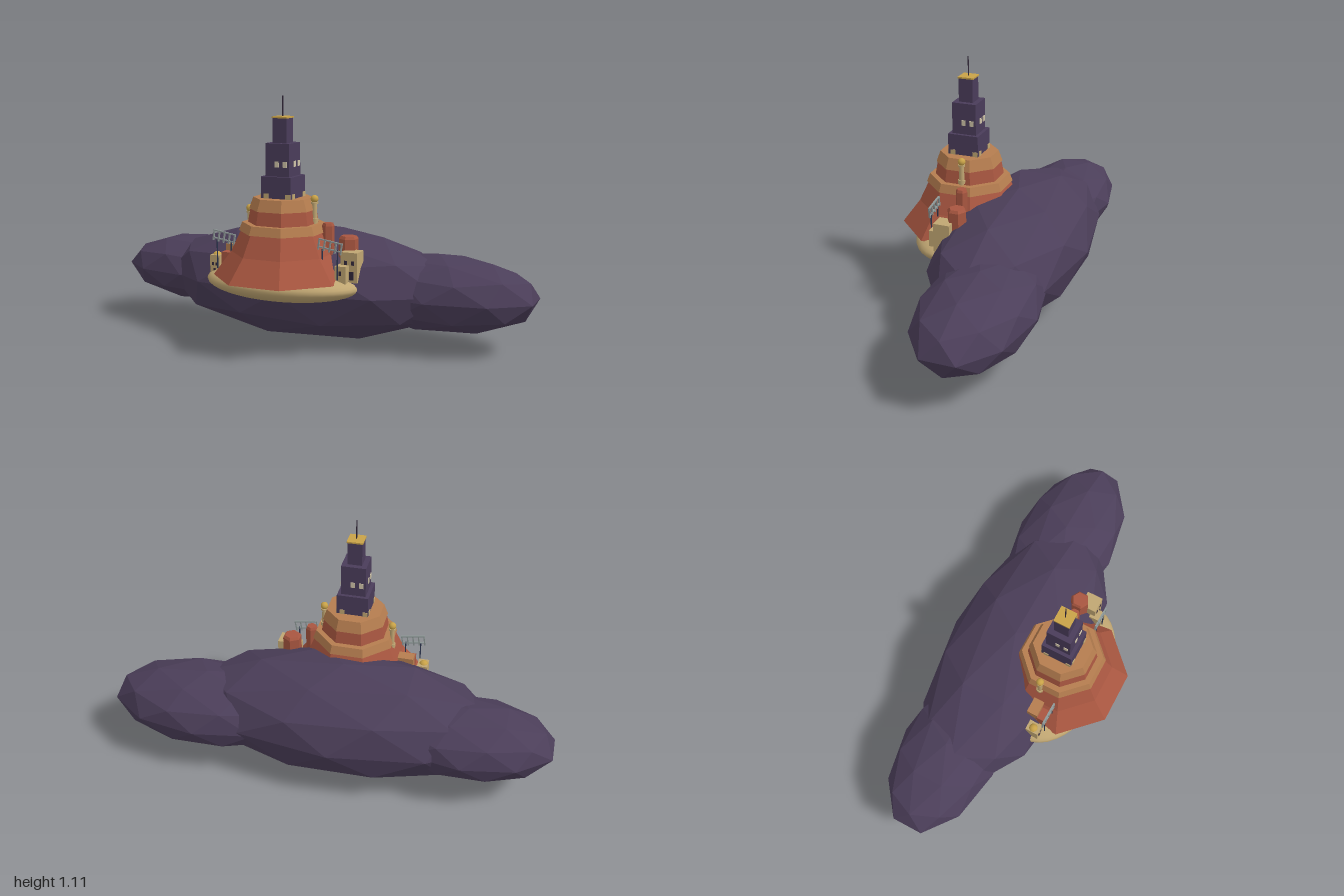
import * as THREE from 'three';

const mat = (name, color, flatShading = false) => {
  const m = new THREE.MeshStandardMaterial({ color, flatShading });
  m.name = name;
  return m;
};

export function createModel() {
  const root = new THREE.Group();
  root.name = 'floatingRockTemple';
  const rock = mat('rockPurple', 0x4b3e59, true);
  const purple = mat('towerPurple', 0x4a3c5a, true);
  const sand = mat('sand', 0xc0a672);
  const red = mat('brickRed', 0xa85640, true);
  const tan = mat('terraceTan', 0xb57d4f, true);
  const gold = mat('gold', 0xc8a248);
  const pale = mat('windowPale', 0xcfc3a8);
  const dark = mat('openingDark', 0x33293a);
  const grey = mat('railGrey', 0x8f9998);
  const navy = mat('poleNavy', 0x2c3550);

  const CX = -0.05, CZ = 0.142; // axis of the temple

  const add = (name, geo, material, x, y, z, parent = root) => {
    const m = new THREE.Mesh(geo, material);
    m.name = name;
    m.position.set(x, y, z);
    parent.add(m);
    return m;
  };
  const box = (name, m, w, h, d, x, y, z, parent) =>
    add(name, new THREE.BoxGeometry(w, h, d), m, x, y, z, parent);

  // Rock lobes: faceted icospheres with a corner at the top
  const lobe = (name, x, y, z, rx, ry, rz) => {
    const g = new THREE.IcosahedronGeometry(1, 1);
    g.rotateX(-Math.atan2(1 + Math.sqrt(5), 2));
    g.rotateY(Math.PI / 2);
    g.scale(rx, ry, rz);
    add(name, g, rock, x, y, z);
  };
  lobe('mainRock', -0.05, 0.263, -0.095, 0.72, 0.262, 0.33);
  lobe('leftRock', 0.57, 0.248, -0.157, 0.452, 0.173, 0.243);
  lobe('rightRock', -0.62, 0.262, -0.14, 0.4, 0.158, 0.228);

  // Sand shelf
  const shelf = new THREE.SphereGeometry(1, 40, 20);
  shelf.scale(0.365, 0.075, 0.218);
  add('sandShelf', shelf, sand, CX, 0.3, CZ);

  // Eight-sided tiers: [name, material, bottom y, top y, bottom and top half widths]
  const tiers = [
    ['lowerSlope', red, 0.33, 0.435, 0.285, 0.212],
    ['upperSlope', red, 0.435, 0.528, 0.212, 0.172],
    ['lowerTerrace', tan, 0.528, 0.566, 0.18, 0.167],
    ['middleDrum', red, 0.566, 0.625, 0.143, 0.133],
    ['upperTerrace', tan, 0.625, 0.676, 0.138, 0.121],
  ];
  for (const [name, m, y0, y1, a0, a1] of tiers) {
    const k = Math.cos(Math.PI / 8);
    const g = new THREE.CylinderGeometry(a1 / k, a0 / k, y1 - y0, 8);
    g.rotateY(Math.PI / 8);
    add(name, g, m, CX, (y0 + y1) / 2, CZ);
  }

  // Stepped square tower with gold roof and mast
  const tower = new THREE.Group();
  tower.name = 'tower';
  tower.position.set(CX, 0, CZ + 0.002);
  root.add(tower);
  for (const [i, [y0, y1, r]] of [[0.67, 0.77, 0.071], [0.77, 0.912, 0.056], [0.912, 1.018, 0.033]].entries())
    box('towerStage' + (i + 1), purple, 2 * r, y1 - y0, 2 * r, 0, (y0 + y1) / 2, 0, tower);
  box('towerRoof', gold, 0.072, 0.007, 0.072, 0, 1.0215, 0, tower);
  add('mast', new THREE.CylinderGeometry(0.0025, 0.0025, 0.09, 8), dark, 0, 1.068, 0, tower);

  // Windows repeated on each of the four sides
  for (let i = 0; i < 4; i++) {
    const side = new THREE.Group();
    side.name = 'towerWindows';
    side.rotation.y = i * Math.PI / 2;
    tower.add(side);
    for (const u of [-0.002, 0.036]) box('window', pale, 0.019, 0.025, 0.004, u, 0.823, 0.057, side);
    for (const u of [-0.047, 0.058]) box('doorway', sand, 0.023, 0.022, 0.004, u, 0.686, 0.072, side);
  }

  // Columns topped with gold balls
  const column = (x, z, y0, y1) => {
    const g = new THREE.Group();
    g.name = 'ballColumn';
    g.position.set(x, 0, z);
    root.add(g);
    const h = y1 - y0 - 0.03;
    add('shaft', new THREE.CylinderGeometry(0.01, 0.013, h, 12), sand, 0, y0 + h / 2, 0, g);
    add('collar', new THREE.CylinderGeometry(0.016, 0.016, 0.008, 12), sand, 0, y0 + h - 0.004, 0, g);
    add('foot', new THREE.CylinderGeometry(0.017, 0.017, 0.016, 12), sand, 0, y0 + 0.02, 0, g);
    add('ball', new THREE.SphereGeometry(0.017, 16, 12), gold, 0, y1 - 0.017, 0, g);
  };
  column(0.09, 0.122, 0.56, 0.69);
  column(-0.225, 0.122, 0.49, 0.63);

  // Six-sided red turrets on the left side
  const turret = (name, x, z, r, y0, y1) => {
    add(name, new THREE.CylinderGeometry(r, r * 1.05, y1 - y0, 6), red, x, (y0 + y1) / 2, z);
    add(name + 'Cap', new THREE.CylinderGeometry(r * 0.8, r, 0.012, 6), red, x, y1 + 0.006, z);
  };
  turret('tallTurret', 0.145, 0.1, 0.027, 0.38, 0.557);
  turret('wideTurret', 0.235, 0.085, 0.043, 0.36, 0.505);

  // Small houses with dark openings on their fronts
  const house = (name, m, w, h, d, x, y0, z, openings) => {
    const g = new THREE.Group();
    g.name = name;
    g.position.set(x, y0, z);
    root.add(g);
    box('walls', m, w, h, d, 0, h / 2, 0, g);
    for (const [u, v, ow, oh] of openings) box('opening', dark, ow, oh, 0.004, u, v, d / 2, g);
  };
  house('leftHouse', sand, 0.075, 0.13, 0.075, 0.27, 0.33, 0.13,
    [[-0.015, 0.085, 0.012, 0.018], [0.017, 0.085, 0.012, 0.018], [0.012, 0.03, 0.018, 0.036]]);
  house('leftAnnex', sand, 0.05, 0.075, 0.06, 0.245, 0.33, 0.175, [[0, 0.045, 0.012, 0.018]]);
  house('rightHouse', sand, 0.048, 0.09, 0.06, -0.367, 0.31, 0.165,
    [[-0.01, 0.05, 0.009, 0.014], [0.01, 0.05, 0.009, 0.014], [0, 0.018, 0.012, 0.024]]);
  add('rightHouseBall', new THREE.SphereGeometry(0.021, 16, 12), gold, -0.37, 0.392, 0.165);
  house('rightBlock', tan, 0.075, 0.12, 0.05, -0.29, 0.33, 0.135, []);
  house('rightLowBlock', red, 0.075, 0.09, 0.05, -0.29, 0.33, 0.178, []);

  // Thin open railings held on poles at both sides
  for (const [x, s] of [[-0.31, -1], [0.2, 1]]) {
    const rail = new THREE.Group();
    rail.name = 'railing';
    rail.position.set(x, 0.488, 0.208);
    rail.rotation.z = -0.15;
    root.add(rail);
    for (let i = -2; i <= 2; i++) box('railPost', grey, 0.006, 0.05, 0.008, i * 0.026, 0, 0, rail);
    for (const y of [-0.012, 0.022]) box('railBar', grey, 0.11, 0.005, 0.008, 0, y, 0, rail);
    for (const u of [-0.035, 0.035])
      add('railPole', new THREE.CylinderGeometry(0.003, 0.003, 0.13, 6), navy, x + u * s, 0.41, 0.208);
  }
  return root;
}
